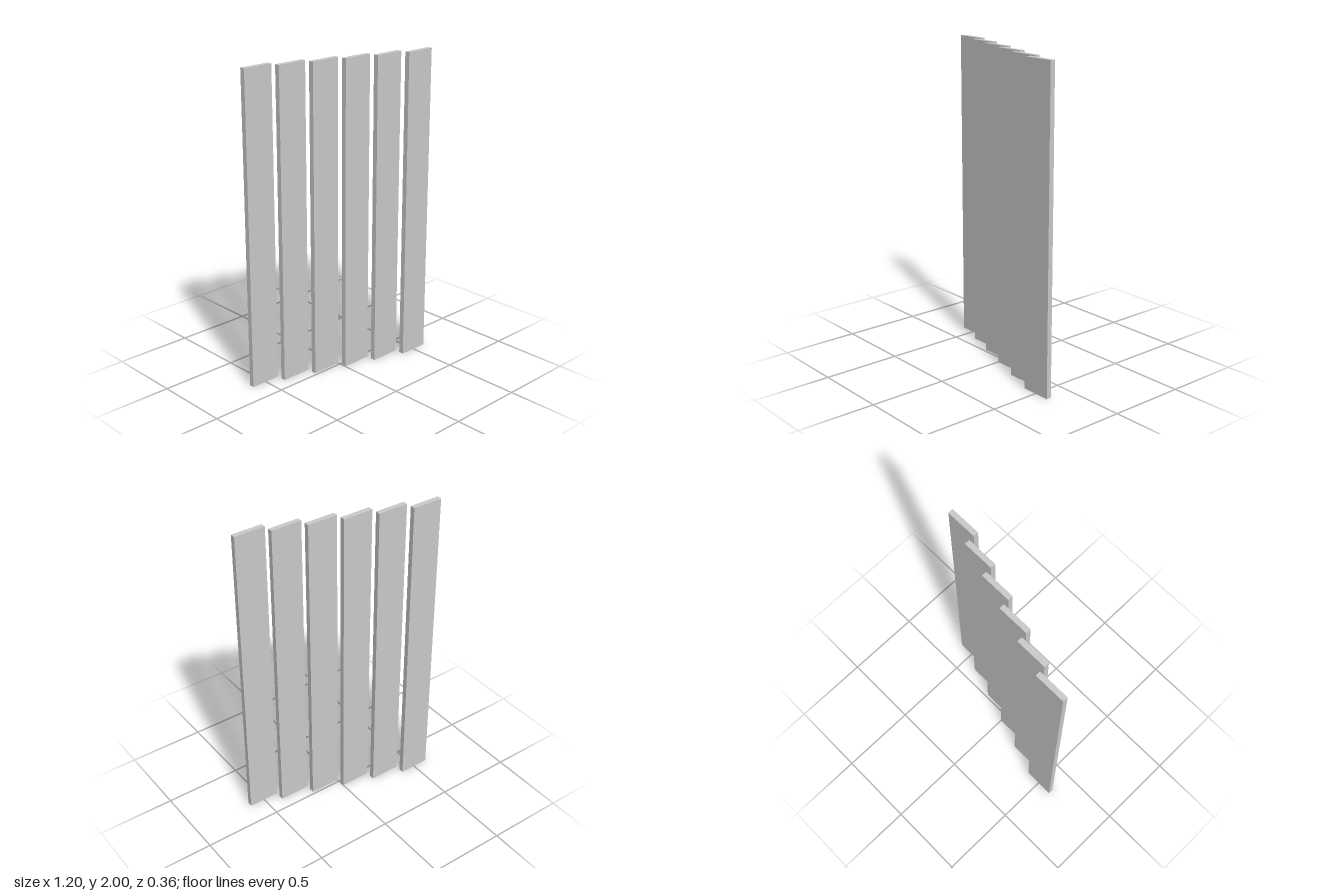
import * as THREE from 'three';

export function createModel() {
  const model = new THREE.Group();
  model.name = 'steppedPanels';
  const material = new THREE.MeshStandardMaterial({ color: 0xcccccc });

  const count = 6, width = 0.2, height = 2, thickness = 0.0327, step = 0.0655;
  const geometry = new THREE.BoxGeometry(width, height, thickness);

  // Upright panels side by side, each one set further forward than the last
  for (let i = 0; i < count; i++) {
    const offset = i - (count - 1) / 2;
    const panel = new THREE.Mesh(geometry, material);
    panel.name = `panel${i + 1}`;
    panel.position.set(offset * width, height / 2, offset * step);
    model.add(panel);
  }
  return model;
}
